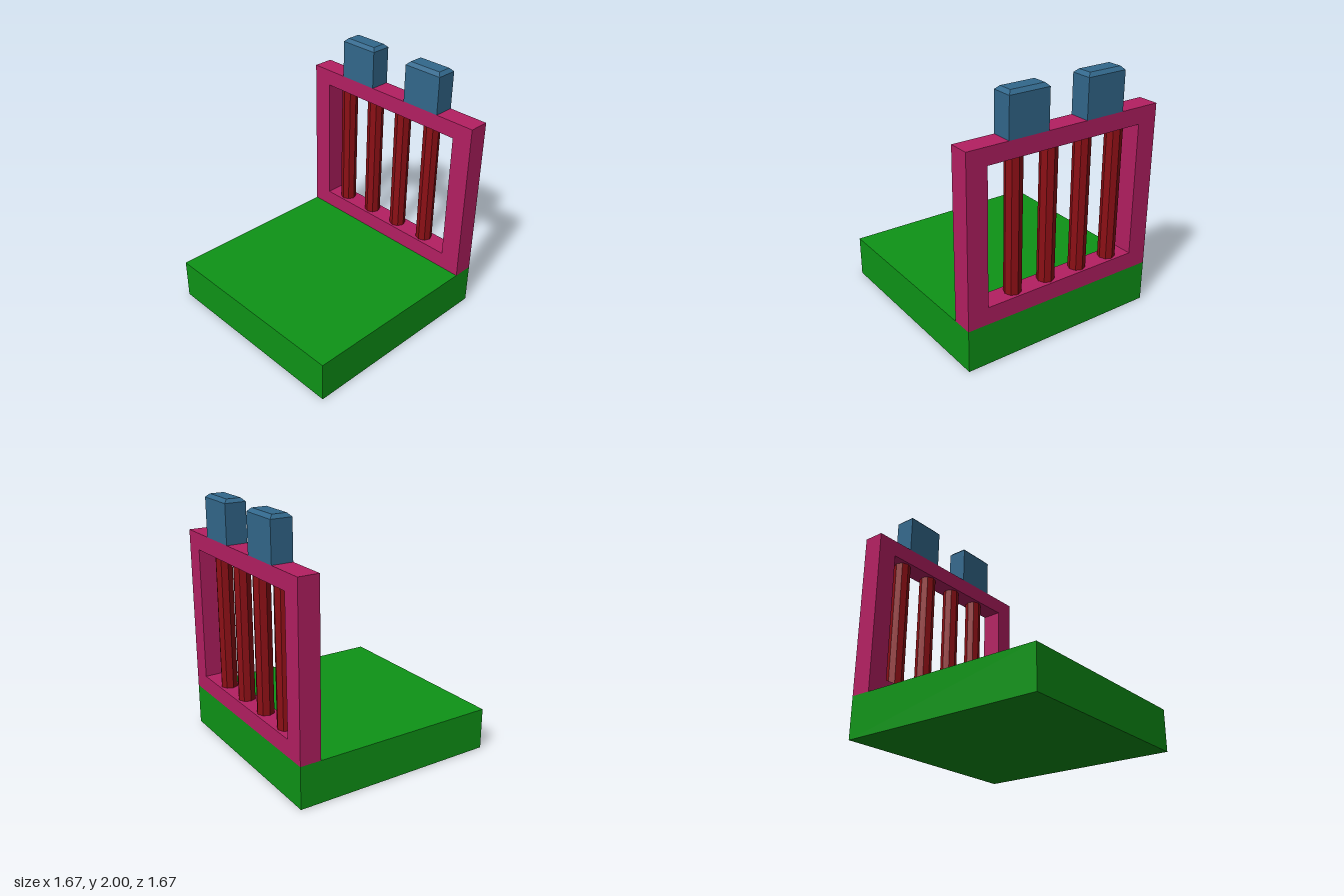
import * as THREE from 'three';

const paint = (color) => new THREE.MeshStandardMaterial({ color, flatShading: true });

// Box whose top edges are bevelled by c, standing on y = 0
function bevelTopBox(w, h, d, c) {
  const geo = new THREE.BoxGeometry(w, h, d, 1, 2, 1).toNonIndexed();
  const p = geo.attributes.position;
  for (let i = 0; i < p.count; i++) {
    const y = p.getY(i);
    if (y > 0.01) {
      p.setX(i, p.getX(i) - Math.sign(p.getX(i)) * c);
      p.setZ(i, p.getZ(i) - Math.sign(p.getZ(i)) * c);
      p.setY(i, h);
    } else {
      p.setY(i, y < -0.01 ? 0 : h - c);
    }
  }
  geo.computeVertexNormals();
  return geo;
}

export function createModel() {
  const group = new THREE.Group();
  const add = (name, geometry, material, x, y, z) => {
    const mesh = new THREE.Mesh(geometry, material);
    mesh.name = name;
    mesh.position.set(x, y, z);
    group.add(mesh);
  };

  const size = 1.667, thick = 0.167, baseH = 0.333, wallZ = -0.75;
  const frameTop = 1.667, holeBottom = 0.47, holeTop = 1.535, holeHalf = 0.667;

  // Square slab
  add('base', new THREE.BoxGeometry(size, baseH, size), paint(0x0e9417), 0, baseH / 2, 0);

  // Upright frame with a rectangular window
  const outline = new THREE.Shape([
    new THREE.Vector2(-size / 2, baseH), new THREE.Vector2(size / 2, baseH),
    new THREE.Vector2(size / 2, frameTop), new THREE.Vector2(-size / 2, frameTop),
  ]);
  outline.holes.push(new THREE.Path([
    new THREE.Vector2(-holeHalf, holeBottom), new THREE.Vector2(-holeHalf, holeTop),
    new THREE.Vector2(holeHalf, holeTop), new THREE.Vector2(holeHalf, holeBottom),
  ]));
  const frameGeo = new THREE.ExtrudeGeometry(outline, { depth: thick, bevelEnabled: false });
  add('backFrame', frameGeo, paint(0xb41f62), 0, 0, wallZ - thick / 2);

  // Eight-sided bars across the window
  const barGeo = new THREE.CylinderGeometry(0.067, 0.067, holeTop - holeBottom, 8);
  const barPaint = paint(0x8c0f15);
  [-0.5, -0.2, 0.1, 0.4].forEach((x, i) =>
    add(`bar${i + 1}`, barGeo, barPaint, x, (holeBottom + holeTop) / 2, wallZ));

  // Two bevelled blocks on top of the frame
  const blockGeo = bevelTopBox(0.333, 2 - frameTop, thick, 0.027);
  const blockPaint = paint(0x32688c);
  for (const [name, side] of [['leftBlock', 1], ['rightBlock', -1]]) {
    add(name, blockGeo, blockPaint, side * 0.333, frameTop, wallZ);
  }

  return group;
}
